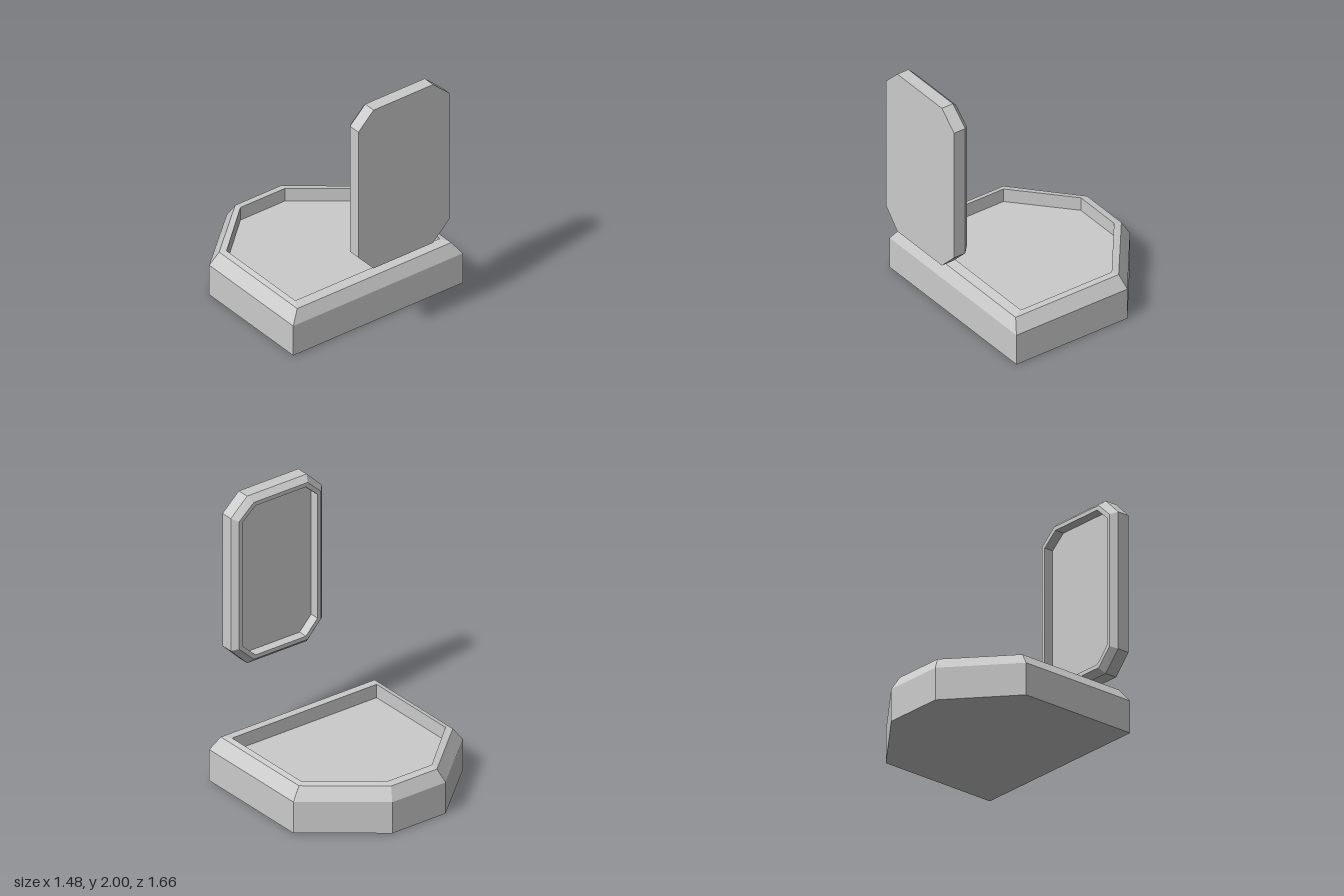
import * as THREE from 'three';

const material = new THREE.MeshStandardMaterial({ color: 0xcccccc, flatShading: true });

// Skin a stack of equal-sided convex rings and close both ends.
function stackRings(name, rings) {
  const pos = [];
  const tri = (...points) => points.forEach((p) => pos.push(...p));
  const n = rings[0].length;
  for (let r = 0; r < rings.length - 1; r++) {
    const lower = rings[r], upper = rings[r + 1];
    for (let i = 0; i < n; i++) {
      const j = (i + 1) % n;
      tri(lower[i], lower[j], upper[j]);
      tri(lower[i], upper[j], upper[i]);
    }
  }
  const first = rings[0], last = rings[rings.length - 1];
  for (let i = 1; i < n - 1; i++) {
    tri(first[0], first[i + 1], first[i]);
    tri(last[0], last[i], last[i + 1]);
  }
  const geometry = new THREE.BufferGeometry();
  geometry.setAttribute('position', new THREE.Float32BufferAttribute(pos, 3));
  geometry.computeVertexNormals();
  const mesh = new THREE.Mesh(geometry, material);
  mesh.name = name;
  return mesh;
}

// Six-sided base outline: square front, two slanted rear corners.
function baseRing(y, halfWidth, front, shoulder, back, backRight, backLeft) {
  return [
    [-halfWidth, y, front], [halfWidth, y, front], [halfWidth, y, shoulder],
    [backRight, y, back], [backLeft, y, back], [-halfWidth, y, shoulder],
  ];
}

// Upright octagon outline, clockwise from the front so the stack grows toward -z.
function panelRing(z, left, right, top, bottom, flat, upper, lower) {
  return [
    [-flat, top, z], [flat, top, z], [right, upper, z], [right, lower, z],
    [flat, bottom, z], [-flat, bottom, z], [left, lower, z], [left, upper, z],
  ];
}

export function createModel() {
  const model = new THREE.Group();
  model.name = 'trayAndPanel';

  // Base: walls, chamfer, gently rising rim, recess wall and floor
  model.add(stackRings('baseTray', [
    baseRing(0, 0.74, 0.543, -0.41, -0.83, 0.2, -0.265),
    baseRing(0.245, 0.74, 0.543, -0.41, -0.83, 0.2, -0.265),
    baseRing(0.34, 0.672, 0.5, -0.385, -0.778, 0.17, -0.23),
    baseRing(0.35, 0.631, 0.425, -0.355, -0.722, 0.16, -0.227),
    baseRing(0.245, 0.631, 0.425, -0.355, -0.722, 0.16, -0.227),
  ]));

  // Panel: plain front, chamfered rear edge and a recess facing the back
  model.add(stackRings('uprightPanel', [
    panelRing(0.83, -0.392, 0.403, 2, 0.682, 0.26, 1.87, 0.825),
    panelRing(0.735, -0.392, 0.403, 2, 0.682, 0.26, 1.87, 0.825),
    panelRing(0.692, -0.352, 0.363, 1.96, 0.722, 0.235, 1.85, 0.845),
    panelRing(0.692, -0.322, 0.333, 1.93, 0.752, 0.22, 1.835, 0.86),
    panelRing(0.765, -0.322, 0.333, 1.93, 0.752, 0.22, 1.835, 0.86),
  ]));

  return model;
}
